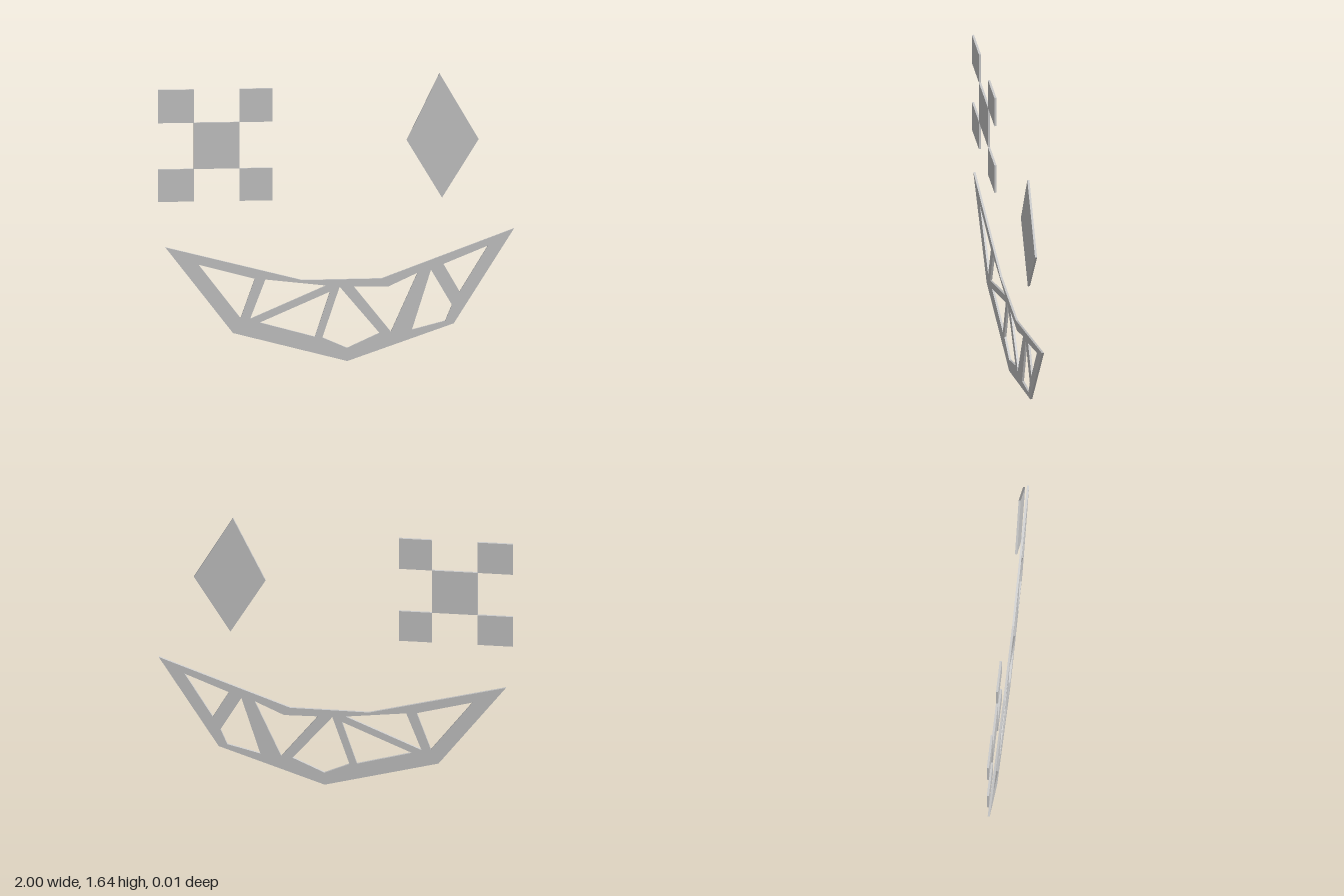
import * as THREE from 'three';

const DEPTH = 0.012;
const material = new THREE.MeshStandardMaterial({ color: 0xcccccc, flatShading: true });
const points = (list) => list.map(([x, y]) => new THREE.Vector2(x, y));

// Flat plate cut from an outline, centred on z = 0
function plate(name, outline, holes = []) {
  const shape = new THREE.Shape(points(outline));
  for (const hole of holes) shape.holes.push(new THREE.Path(points(hole)));
  const geometry = new THREE.ExtrudeGeometry(shape, { depth: DEPTH, bevelEnabled: false });
  geometry.translate(0, 0, -DEPTH / 2);
  const mesh = new THREE.Mesh(geometry, material);
  mesh.name = name;
  return mesh;
}

export function createModel() {
  const model = new THREE.Group();
  model.name = 'face';

  // Grinning mouth, the holes are the gaps between the teeth
  model.add(plate('mouth',
    [[-0.96, 0.666], [-0.58, 0.17], [0.062, 0], [0.66, 0.207], [0.998, 0.745], [0.255, 0.47], [-0.19, 0.467]],
    [
      [[-0.773, 0.564], [-0.457, 0.479], [-0.537, 0.254]],
      [[-0.398, 0.474], [-0.056, 0.434], [-0.484, 0.249]],
      [[-0.035, 0.399], [-0.12, 0.142], [-0.43, 0.228]],
      [[0.019, 0.426], [0.243, 0.158], [0.062, 0.075], [-0.078, 0.137]],
      [[0.099, 0.426], [0.291, 0.423], [0.457, 0.5], [0.307, 0.164]],
      [[0.532, 0.516], [0.65, 0.313], [0.612, 0.222], [0.425, 0.174]],
      [[0.602, 0.548], [0.853, 0.65], [0.693, 0.388]],
    ]));

  // Diamond eye
  model.add(plate('diamondEye', [[0.58, 1.64], [0.396, 1.26], [0.594, 0.928], [0.8, 1.26]]));

  // Cross eye: a centre square with a smaller one at each corner
  const crossEye = new THREE.Group();
  crossEye.name = 'crossEye';
  const xs = [-1, -0.8, -0.543, -0.357];
  const ys = [0.927, 1.113, 1.378, 1.568];
  const cells = [['Centre', 1, 1], ['LowerRight', 0, 0], ['LowerLeft', 2, 0], ['UpperRight', 0, 2], ['UpperLeft', 2, 2]];
  for (const [name, i, j] of cells) {
    crossEye.add(plate('crossEye' + name,
      [[xs[i], ys[j]], [xs[i + 1], ys[j]], [xs[i + 1], ys[j + 1]], [xs[i], ys[j + 1]]]));
  }
  model.add(crossEye);
  return model;
}
